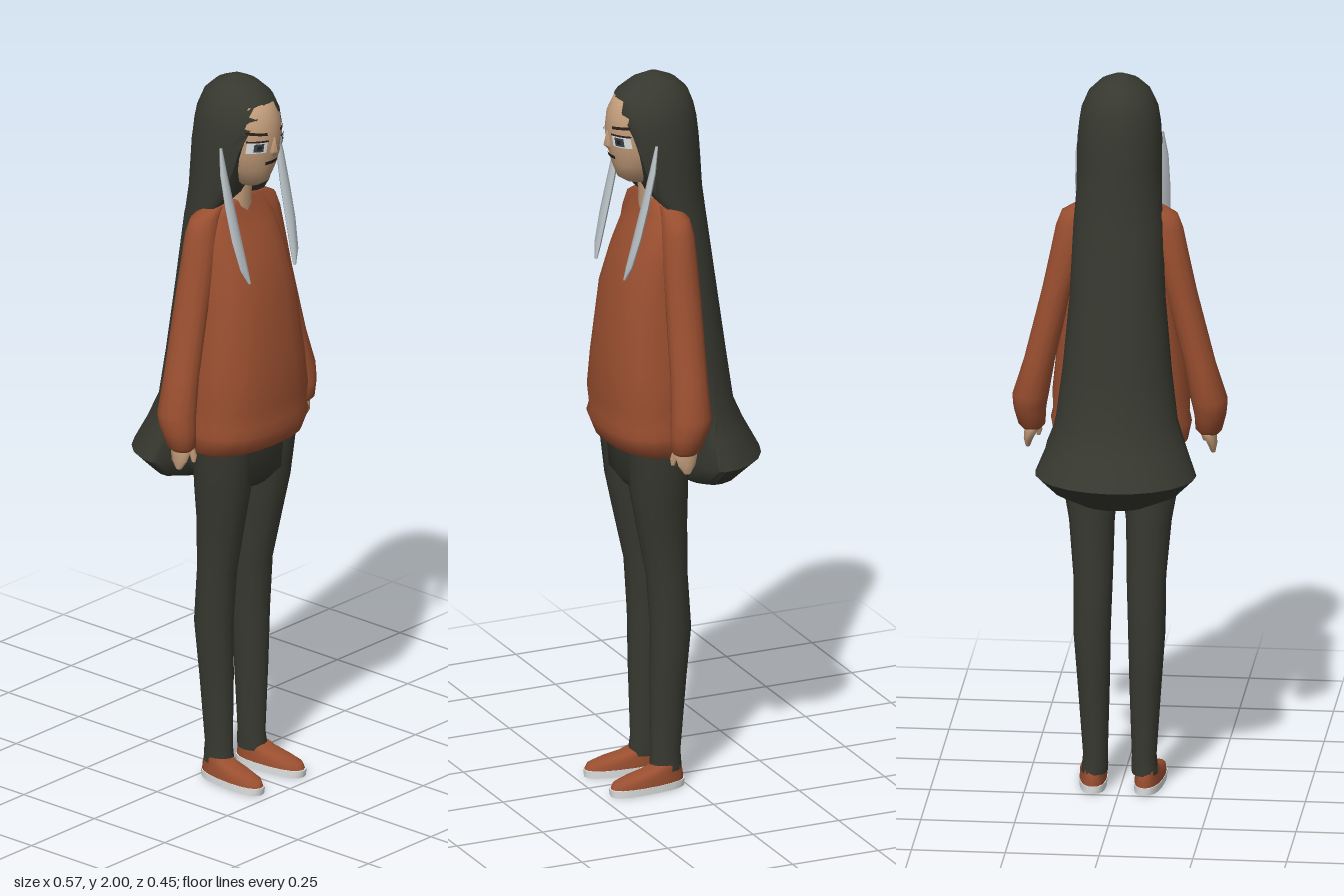
import * as THREE from 'three';
import { toCreasedNormals } from 'three/addons/utils/BufferGeometryUtils.js';

const mat = (name, color) => {
  const m = new THREE.MeshStandardMaterial({ color });
  m.name = name;
  return m;
};

// Stacks closed rings of [x, y, z] points from bottom to top and caps both ends.
function stack(rings) {
  const n = rings[0].length, pos = [], idx = [];
  rings.forEach(r => r.forEach(p => pos.push(...p)));
  for (let i = 0; i < rings.length - 1; i++) {
    for (let j = 0; j < n; j++) {
      const k = (j + 1) % n, a = i * n + j, b = i * n + k;
      idx.push(a, b, b + n, a, b + n, a + n);
    }
  }
  [0, rings.length - 1].forEach(i => {
    const c = [0, 1, 2].map(d => rings[i].reduce((s, p) => s + p[d], 0) / n);
    const m = pos.length / 3;
    pos.push(...c);
    for (let j = 0; j < n; j++) {
      const a = i * n + j, b = i * n + (j + 1) % n;
      idx.push(...(i === 0 ? [m, b, a] : [m, a, b]));
    }
  });
  const g = new THREE.BufferGeometry();
  g.setAttribute('position', new THREE.Float32BufferAttribute(pos, 3));
  g.setIndex(idx);
  return toCreasedNormals(g, 1.0);
}

// Rows are [y, centre x, half width, back z, front z]; power below 1 squares the ring.
function loft(rows, sides = 16, power = 1) {
  const bend = v => Math.sign(v) * Math.abs(v) ** power;
  return stack(rows.map(([y, cx, rx, zb, zf]) => Array.from({ length: sides }, (_, j) => {
    const t = j / sides * Math.PI * 2;
    return [cx + rx * bend(Math.sin(t)), y, (zb + zf) / 2 + (zf - zb) / 2 * bend(Math.cos(t))];
  })));
}

const mirrorRows = (rows, s) => rows.map(([y, x, ...rest]) => [y, x * s, ...rest]);

const FACE = [
  [1.705, 0, 0.03, 0.06, 0.14], [1.72, 0, 0.047, 0.03, 0.163], [1.76, 0, 0.071, 0.01, 0.178],
  [1.80, 0, 0.084, 0, 0.188], [1.85, 0, 0.09, -0.01, 0.195], [1.90, 0, 0.085, -0.01, 0.19],
  [1.94, 0, 0.07, 0, 0.172], [1.965, 0, 0.04, 0.03, 0.13],
];

// Depth of the face surface at a given x, y.
function faceZ(x, y) {
  const i = Math.max(1, FACE.findIndex(r => r[0] >= y));
  const a = FACE[i - 1], b = FACE[i], f = (y - a[0]) / (b[0] - a[0]);
  const [, , rx, zb, zf] = a.map((v, k) => v + (b[k] - v) * f);
  return (zb + zf) / 2 + (zf - zb) / 2 * Math.sqrt(Math.max(0, 1 - (x / rx) ** 2));
}

// Thin patch that follows the face; tilt raises it along x.
function patch(cx, cy, w, h, off, tilt = 0) {
  const g = new THREE.PlaneGeometry(w, h, 8, 3), p = g.attributes.position;
  for (let i = 0; i < p.count; i++) {
    const x = cx + p.getX(i), y = cy + p.getY(i) + p.getX(i) * tilt;
    p.setXYZ(i, x, y, faceZ(x, y) + off);
  }
  g.computeVertexNormals();
  return g;
}

export function createModel() {
  const model = new THREE.Group();
  const dark = mat('charcoal', 0x373930);
  const rust = mat('rust', 0x9a4f30);
  const skin = mat('skin', 0xc29c7a);
  const silver = mat('silver', 0xb6bec3);
  const white = mat('white', 0xe4e6e6);
  const iris = mat('slate iris', 0x38444e);
  const ink = mat('dark brown', 0x2a1f1a);
  const add = (name, geo, material, parent = model) => {
    const m = new THREE.Mesh(geo, material);
    m.name = name;
    parent.add(m);
    return m;
  };

  // Head and neck
  add('head', loft(FACE, 32), skin);
  add('neck', loft([[1.6, 0, 0.05, 0.02, 0.1], [1.66, 0, 0.039, 0.03, 0.1],
    [1.75, 0, 0.037, 0.03, 0.11]], 12), skin);
  add('nose', loft([[1.803, 0, 0.009, 0.17, 0.193], [1.815, 0, 0.012, 0.17, 0.206],
    [1.855, 0, 0.006, 0.17, 0.197]], 8), skin);
  add('mouth', patch(0, 1.783, 0.046, 0.01, 0.003), ink);

  // Hair rows: y, half width, centre z, back z, front z, opening angle in degrees
  const hairRows = [
    [0.842, 0.09, -0.07, -0.135, -0.02, 30], [0.868, 0.165, -0.05, -0.165, 0, 30],
    [0.92, 0.215, -0.055, -0.228, 0, 40], [1.0, 0.185, -0.035, -0.185, 0, 60],
    [1.07, 0.162, -0.02, -0.154, 0, 80], [1.2, 0.146, -0.01, -0.136, 0, 85],
    [1.4, 0.128, 0, -0.108, 0.02, 85], [1.6, 0.12, 0.02, -0.079, 0.06, 75],
    [1.68, 0.114, 0.04, -0.07, 0.13, 52], [1.76, 0.113, 0.05, -0.066, 0.17, 52],
    [1.82, 0.113, 0.055, -0.062, 0.185, 48], [1.87, 0.109, 0.06, -0.056, 0.188, 39],
    [1.91, 0.102, 0.06, -0.047, 0.183, 25], [1.95, 0.085, 0.06, -0.032, 0.166, 3],
    [1.98, 0.055, 0.06, 0.0, 0.125, 1], [2.0, 0.015, 0.06, 0.045, 0.075, 1],
  ];
  const hair = stack(hairRows.map(([y, rx, zc, zb, zf, deg]) => {
    const a = deg * Math.PI / 180, n = 18;
    const ring = Array.from({ length: n + 1 }, (_, j) => {
      const t = a + (2 * Math.PI - 2 * a) * j / n, c = Math.cos(t);
      return [rx * Math.sin(t), y, zc + c * (c > 0 ? zf - zc : zc - zb)];
    });
    // flat span joining the two front edges
    const [x, , z] = ring[0];
    for (const f of [-0.5, 0, 0.5]) ring.push([x * f, y, z]);
    return ring;
  }));
  add('longHair', hair, dark);

  // Sweater body, collar and hem
  add('sweater', loft([
    [0.963, 0, 0.165, -0.012, 0.165], [0.975, 0, 0.178, -0.024, 0.2], [1.025, 0, 0.188, -0.027, 0.22],
    [1.05, 0, 0.182, -0.02, 0.213], [1.1, 0, 0.184, -0.022, 0.219], [1.2, 0, 0.174, -0.02, 0.212],
    [1.4, 0, 0.15, -0.015, 0.191], [1.5, 0, 0.138, -0.012, 0.16], [1.58, 0, 0.13, -0.01, 0.122],
    [1.62, 0, 0.112, -0.003, 0.1], [1.645, 0, 0.078, 0.008, 0.094], [1.657, 0, 0.05, 0.02, 0.09],
  ], 20, 0.82), rust);

  // Hips
  add('hips', loft([[0.845, 0, 0.09, 0.02, 0.14], [0.88, 0, 0.15, 0.004, 0.165],
    [1.0, 0, 0.165, 0, 0.175]], 16, 0.85), dark);

  for (const s of [1, -1]) {
    const side = s > 0 ? 'left' : 'right';
    const part = (name, rows, sides, material, power) =>
      add(side + name, loft(mirrorRows(rows, s), sides, power), material);

    // Sleeve with gathered cuff
    part('Sleeve', [
      [1.0, 0.236, 0.026, 0.045, 0.105], [1.012, 0.236, 0.036, 0.032, 0.117],
      [1.05, 0.24, 0.042, 0.02, 0.118], [1.07, 0.24, 0.045, 0.01, 0.118],
      [1.1, 0.238, 0.049, 0.004, 0.115], [1.2, 0.214, 0.042, 0.004, 0.106],
      [1.4, 0.165, 0.042, 0, 0.098], [1.5, 0.139, 0.047, 0, 0.095],
      [1.58, 0.12, 0.05, 0.002, 0.09], [1.62, 0.108, 0.047, 0.01, 0.083], [1.645, 0.08, 0.03, 0.025, 0.075],
    ], 14, rust);

    // Hand and thumb
    part('Hand', [[0.947, 0.247, 0.006, 0.066, 0.084], [0.97, 0.245, 0.013, 0.05, 0.1],
      [1.0, 0.236, 0.02, 0.04, 0.106], [1.03, 0.236, 0.02, 0.05, 0.1]], 10, skin);
    part('Thumb', [[0.968, 0.222, 0.005, 0.1, 0.111], [0.985, 0.22, 0.009, 0.092, 0.113],
      [1.02, 0.226, 0.009, 0.08, 0.105]], 8, skin);

    // Trouser leg
    part('Leg', [
      [0.05, 0.067, 0.035, 0.012, 0.1], [0.07, 0.066, 0.035, 0.012, 0.1], [0.1, 0.065, 0.033, 0.014, 0.096],
      [0.3, 0.069, 0.043, 0, 0.1], [0.45, 0.073, 0.05, -0.012, 0.1], [0.6, 0.071, 0.053, -0.002, 0.11],
      [0.75, 0.076, 0.061, 0.002, 0.142], [0.845, 0.079, 0.075, 0.003, 0.16], [0.97, 0.086, 0.08, 0.003, 0.172],
    ], 14, dark);

    // Shoe, toes turned slightly outward
    const shoe = new THREE.Group();
    shoe.name = side + 'Shoe';
    shoe.position.x = s * 0.067;
    shoe.rotation.y = s * 0.08;
    model.add(shoe);
    add('sole', loft([[0, 0, 0.037, 0.006, 0.224], [0.02, 0, 0.038, 0.004, 0.227]], 18, 0.8), white, shoe);
    add('upper', loft([[0.019, 0, 0.037, 0.007, 0.223], [0.035, 0, 0.036, 0.008, 0.215],
      [0.046, 0, 0.033, 0.01, 0.18], [0.056, 0, 0.031, 0.014, 0.13],
      [0.068, 0, 0.029, 0.018, 0.098]], 18, 0.85), rust, shoe);

    // Silver strand hanging in front of the shoulder
    part('SilverStrand', [
      [1.46, 0.09, 0.004, 0.182, 0.19], [1.5, 0.1, 0.014, 0.168, 0.184], [1.58, 0.107, 0.018, 0.147, 0.165],
      [1.67, 0.11, 0.017, 0.125, 0.143], [1.76, 0.112, 0.012, 0.106, 0.122], [1.83, 0.109, 0.004, 0.097, 0.105],
    ], 8, silver);

    // Eye and brow
    add(side + 'Eye', patch(s * 0.048, 1.834, 0.044, 0.032, 0.003), white);
    add(side + 'Iris', patch(s * 0.047, 1.834, 0.022, 0.024, 0.005), iris);
    add(side + 'Pupil', patch(s * 0.047, 1.834, 0.01, 0.012, 0.0065), ink);
    add(side + 'Lash', patch(s * 0.048, 1.852, 0.048, 0.005, 0.0045), ink);
    add(side + 'Brow', patch(s * 0.048, 1.873, 0.046, 0.008, 0.004, s * 0.12), ink);
  }
  return model;
}
